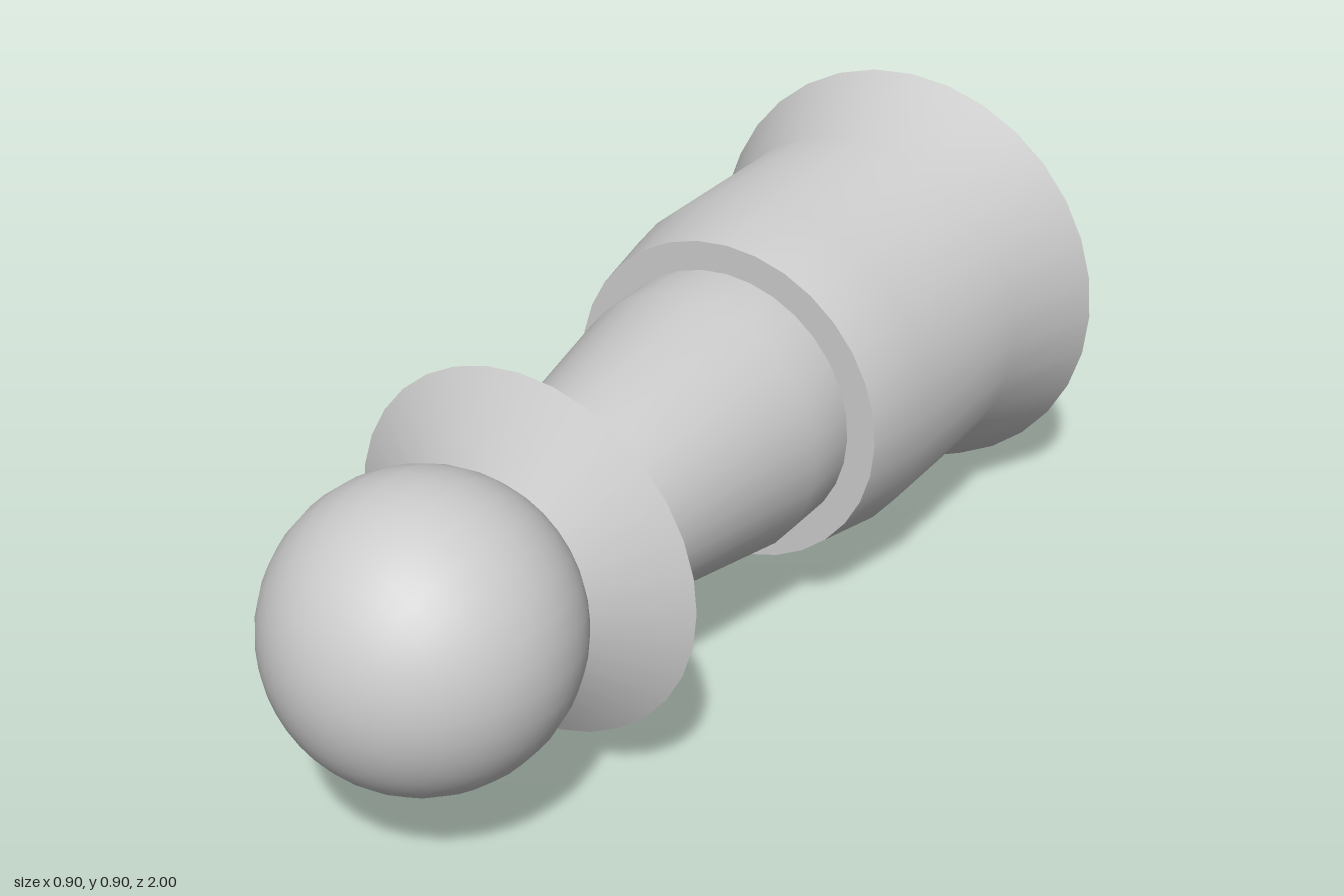
import * as THREE from 'three';
import { toCreasedNormals } from 'three/addons/utils/BufferGeometryUtils.js';

const SIDES = 32;
const AXIS_HEIGHT = 0.45;

export function createModel() {
  const model = new THREE.Group();
  model.name = 'turnedPeg';
  const material = new THREE.MeshStandardMaterial({ color: 0xcccccc });

  function add(name, geometry) {
    const mesh = new THREE.Mesh(geometry, material);
    mesh.name = name;
    mesh.position.y = AXIS_HEIGHT;
    model.add(mesh);
    return mesh;
  }

  // Turned part lying along z; profile is [z, radius] from back to front
  function turned(name, profile) {
    const points = profile.map(([z, r]) => new THREE.Vector2(r, z));
    const lathe = new THREE.LatheGeometry(points, SIDES).rotateX(Math.PI / 2);
    return add(name, toCreasedNormals(lathe, 0.5));
  }

  // Flared base with a closed back and a flat front shoulder
  turned('base', [[-1, 0], [-1, 0.45], [-0.8, 0.37], [-0.42, 0.37], [-0.26, 0.34], [-0.26, 0.27]]);

  // Tapered neck
  turned('neck', [[-0.26, 0.28], [-0.135, 0.28], [0.3, 0.2]]);

  // Sharp-edged collar
  turned('collar', [[0.3, 0.2], [0.42, 0.365], [0.515, 0.2]]);

  // Ball head
  const ball = new THREE.SphereGeometry(0.285, SIDES, 24).rotateX(Math.PI / 2);
  add('head', ball).position.z = 0.715;

  return model;
}
